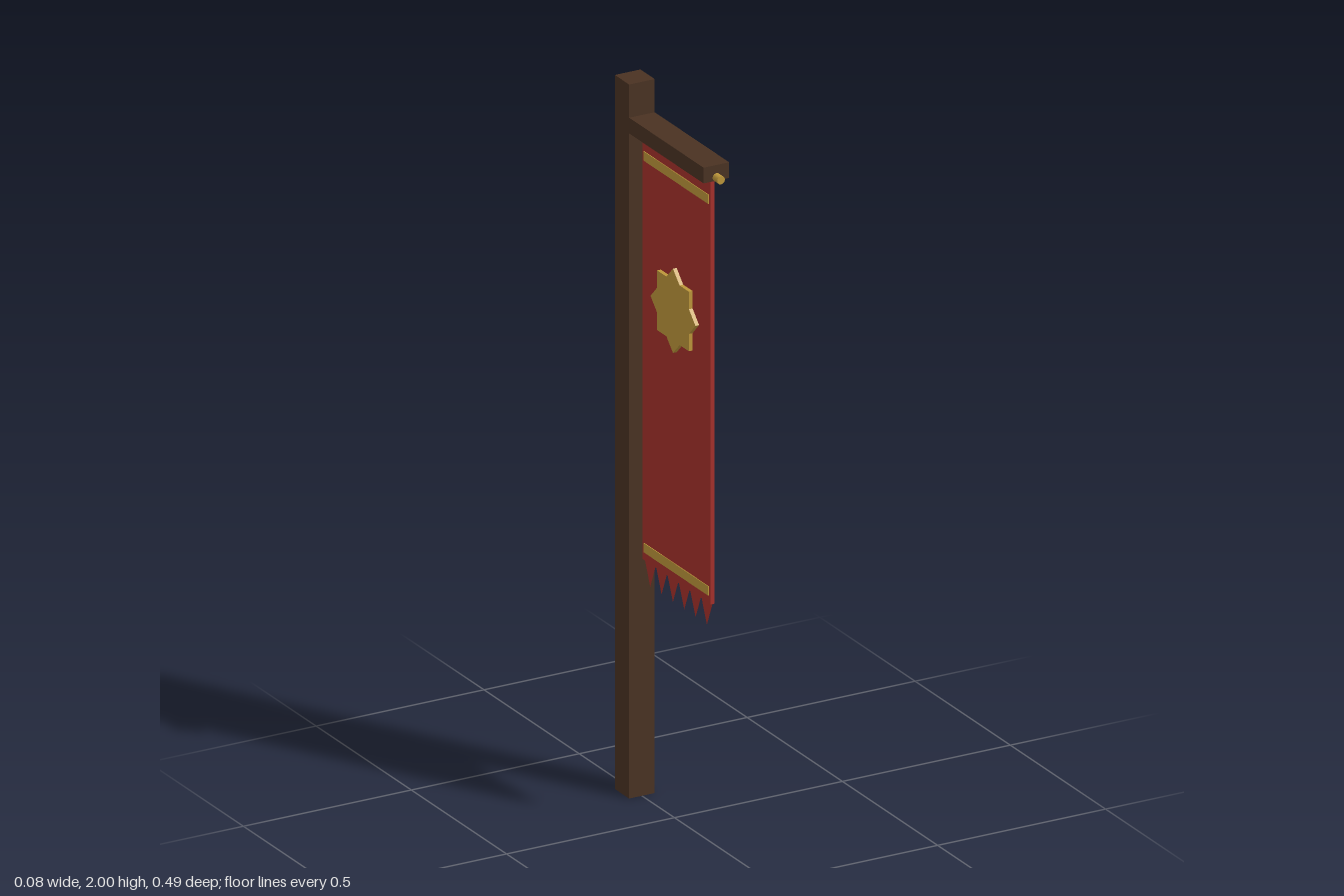
import * as THREE from 'three';

const wood = new THREE.MeshStandardMaterial({ color: 0x4a3222, flatShading: true });
const red = new THREE.MeshStandardMaterial({ color: 0xa5302b, side: THREE.DoubleSide });
const gold = new THREE.MeshStandardMaterial({ color: 0xbc963a });

export function createModel() {
  const group = new THREE.Group();

  const add = (name, geometry, material, x, y, z) => {
    const mesh = new THREE.Mesh(geometry, material);
    mesh.name = name;
    mesh.position.set(x, y, z);
    group.add(mesh);
    return mesh;
  };
  // Box given by its width in x and its extents in y and z
  const box = (name, material, w, y0, y1, z0, z1) =>
    add(name, new THREE.BoxGeometry(w, y1 - y0, z1 - z0), material, 0, (y0 + y1) / 2, (z0 + z1) / 2);

  // Wooden post and cross arm
  box('post', wood, 0.076, 0, 2, -0.246, -0.171);
  box('arm', wood, 0.076, 1.863, 1.907, -0.171, 0.22);

  // Hanging rod, its tip showing beyond the arm
  add('hangingRod', new THREE.CylinderGeometry(0.0115, 0.0115, 0.405, 12), gold, 0, 1.873, 0.0425)
    .rotation.x = Math.PI / 2;

  // Cloth with a gold band near each end
  const zBack = -0.157, zFront = 0.2;
  box('cloth', red, 0.012, 0.67, 1.873, zBack, zFront);
  box('upperBand', gold, 0.016, 1.789, 1.815, -0.149, 0.191);
  box('lowerBand', gold, 0.016, 0.692, 0.718, -0.149, 0.191);

  // Eight-pointed star emblem, standing proud on both faces
  const star = new THREE.Shape();
  for (let i = 0; i < 16; i++) {
    const r = i % 2 ? 0.0905 : 0.118;
    const a = (i * Math.PI) / 8;
    star[i ? 'lineTo' : 'moveTo'](r * Math.cos(a), r * Math.sin(a));
  }
  star.closePath();
  const starGeometry = new THREE.ExtrudeGeometry(star, { depth: 0.034, bevelEnabled: false });
  starGeometry.translate(0, 0, -0.017).rotateY(Math.PI / 2);
  add('starEmblem', starGeometry, gold, 0, 1.431, 0.022);

  // Pointed fringe along the lower hem
  const count = 6, step = (zFront - zBack) / count;
  const tooth = new THREE.Shape([
    new THREE.Vector2(-step / 2, 0), new THREE.Vector2(0, -0.07), new THREE.Vector2(step / 2, 0),
  ]);
  const toothGeometry = new THREE.ShapeGeometry(tooth).rotateY(Math.PI / 2);
  for (let i = 0; i < count; i++) {
    add('fringePoint', toothGeometry, red, 0, 0.671, zBack + (i + 0.5) * step);
  }

  return group;
}
